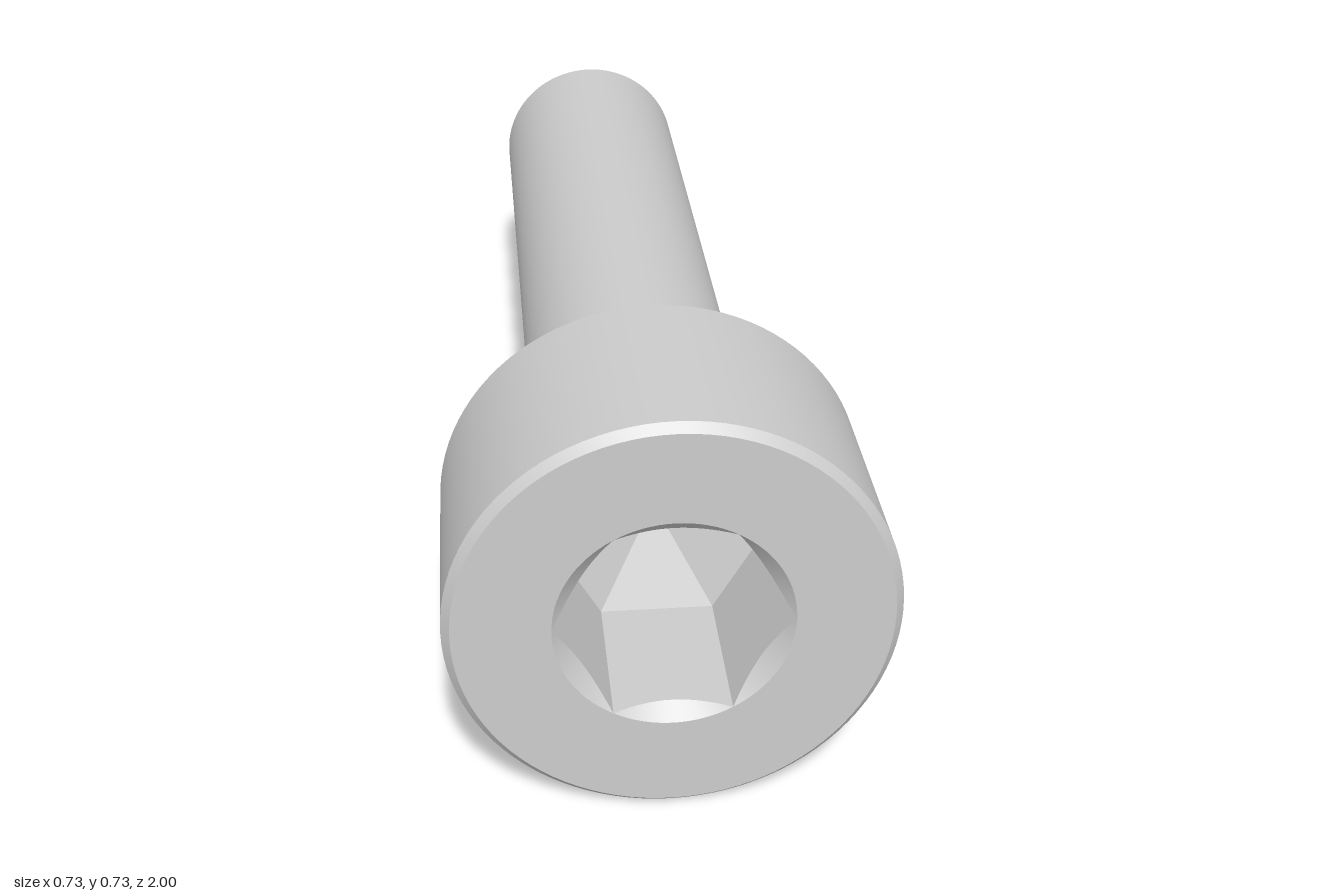
import * as THREE from 'three';
import { toCreasedNormals } from 'three/addons/utils/BufferGeometryUtils.js';

const SEGMENTS = 96;
const HEAD_R = 0.367, SHANK_R = 0.2, BEVEL = 0.014;
const HEX_FLAT = 0.168;                               // centre to flat
const HEX_CORNER = HEX_FLAT / Math.cos(Math.PI / 6);  // centre to corner
const SOCKET_DEPTH = 0.27, CONE_DEPTH = 0.08;

const material = new THREE.MeshStandardMaterial({ color: 0xcccccc });

function addPart(group, name, geometry) {
  const mesh = new THREE.Mesh(toCreasedNormals(geometry, 0.4), material);
  mesh.name = name;
  group.add(mesh);
}

// Turned profile of [radius, z] pairs, listed from back to front
function turned(profile) {
  const points = profile.map(([r, z]) => new THREE.Vector2(r, z));
  return new THREE.LatheGeometry(points, SEGMENTS).rotateX(Math.PI / 2);
}

// Hexagonal recess: curved lead-in chamfer, six flat walls, conical floor
function socketGeometry() {
  const rings = [[], [], [], []];
  for (let i = 0; i <= SEGMENTS; i++) {
    const a = (i / SEGMENTS) * Math.PI * 2;
    const fromFlat = (a % (Math.PI / 3)) - Math.PI / 6;
    const r = HEX_FLAT / Math.cos(fromFlat);
    const at = (radius, z) => [radius * Math.cos(a), radius * Math.sin(a), z];
    rings[0].push(at(HEX_CORNER, 1));
    rings[1].push(at(r, 1 - (HEX_CORNER - r)));
    rings[2].push(at(r, 1 - SOCKET_DEPTH));
    rings[3].push(at(0, 1 - SOCKET_DEPTH - CONE_DEPTH));
  }
  const positions = [];
  for (let k = 0; k < 3; k++) {
    const outer = rings[k], inner = rings[k + 1];
    for (let i = 0; i < SEGMENTS; i++) {
      positions.push(...outer[i], ...outer[i + 1], ...inner[i]);
      if (k < 2) positions.push(...outer[i + 1], ...inner[i + 1], ...inner[i]);
    }
  }
  const geometry = new THREE.BufferGeometry();
  geometry.setAttribute('position', new THREE.Float32BufferAttribute(positions, 3));
  return geometry;
}

export function createModel() {
  const group = new THREE.Group();
  group.name = 'socketHeadScrew';

  // Plain shank with a chamfered tip
  addPart(group, 'shank', turned([
    [0, -1], [0.147, -1], [SHANK_R, -0.947], [SHANK_R, 0.6],
  ]));

  // Cylindrical head with bevelled rims, open where the socket begins
  addPart(group, 'head', turned([
    [SHANK_R, 0.6], [HEAD_R - BEVEL, 0.6], [HEAD_R, 0.6 + BEVEL],
    [HEAD_R, 1 - BEVEL], [HEAD_R - BEVEL, 1], [HEX_CORNER, 1],
  ]));

  addPart(group, 'hexSocket', socketGeometry());

  // Rest the head on the ground
  group.children.forEach((part) => { part.position.y = HEAD_R; });
  return group;
}
